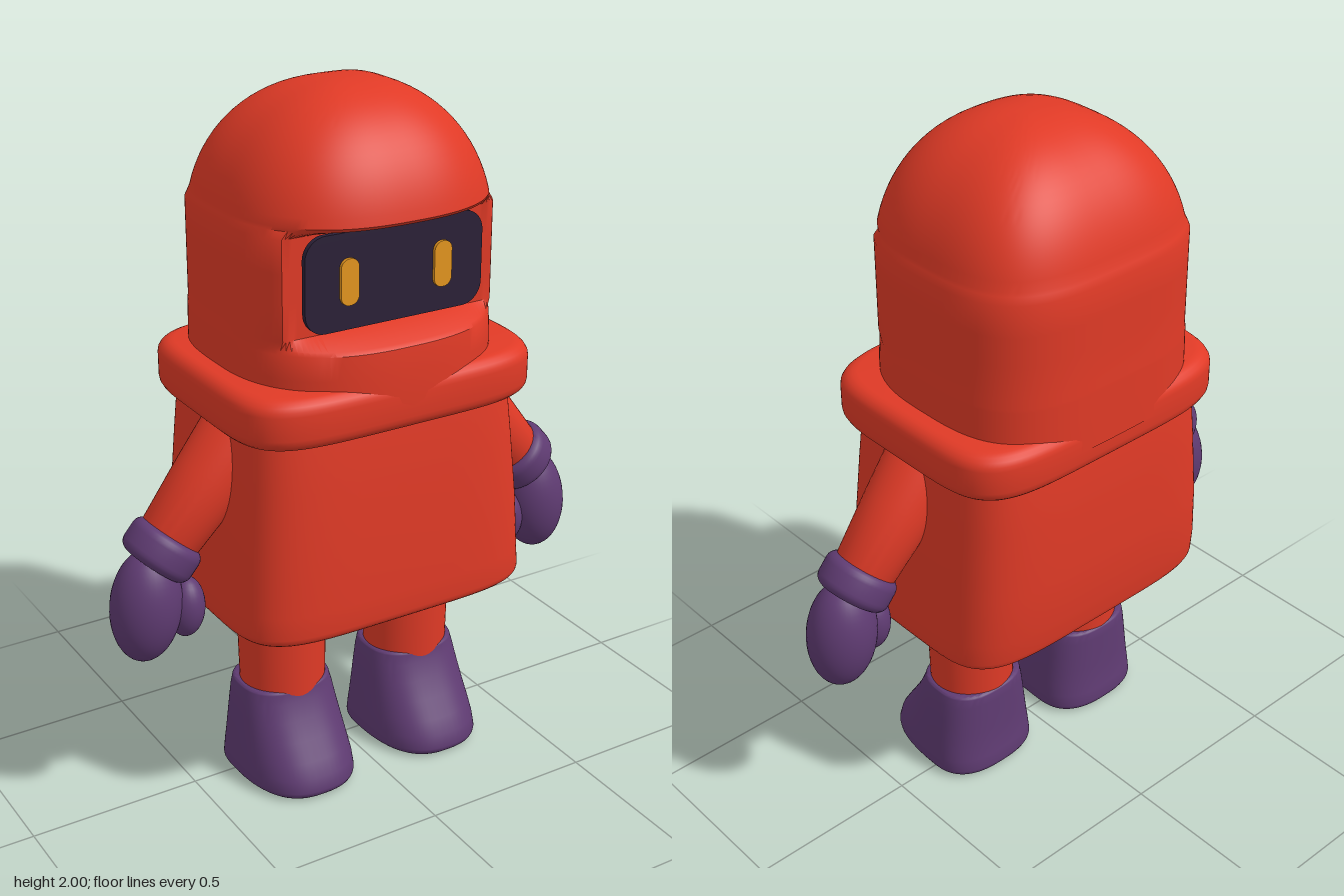
import * as THREE from 'three';
import { toCreasedNormals } from 'three/addons/utils/BufferGeometryUtils.js';

const mat = (name, color) => {
  const m = new THREE.MeshStandardMaterial({ color });
  m.name = name;
  return m;
};

// Stack of rounded-square rings [y, halfX, frontZ, backZ, clipZ?]; the ends are closed.
// nf and nb set how square the front and back halves are (2 is an ellipse).
function loft(rings, nf = 2, nb = nf, seg = 96) {
  const first = rings[0], last = rings[rings.length - 1];
  const all = [[first[0], 0, 0, 0], ...rings, [last[0], 0, 0, 0]];
  const pos = [], index = [];
  const pow = (v, n) => Math.sign(v) * Math.pow(Math.abs(v), 2 / n);
  for (const [y, hx, zf, zb, clip = Infinity] of all) {
    for (let j = 0; j < seg; j++) {
      const t = (j / seg) * Math.PI * 2;
      const s = Math.sin(t), n = s > 0 ? nf : nb;
      pos.push(hx * pow(Math.cos(t), n), y, Math.min(clip, pow(s, n) * (s > 0 ? zf : zb)));
    }
  }
  for (let i = 0; i < all.length - 1; i++) {
    for (let j = 0; j < seg; j++) {
      const k = (j + 1) % seg;
      const a = i * seg + j, b = i * seg + k, c = a + seg, d = b + seg;
      if (i > 0) index.push(a, c, b);
      if (i < all.length - 2) index.push(b, c, d);
    }
  }
  // the first fan needs its outer triangles, the last fan its inner ones
  const g = new THREE.BufferGeometry();
  g.setAttribute('position', new THREE.Float32BufferAttribute(pos, 3));
  g.setIndex(index);
  return toCreasedNormals(g, 0.6);
}

// Rounds the bottom (r0) and top (r1) rims of a stack of rings
function bevel(rings, r0, r1, steps = 5) {
  const arc = ([y, ...h], r, dir) => Array.from({ length: steps + 1 }, (_, k) => {
    const a = (k / steps) * Math.PI / 2;
    return [y + dir * r * Math.sin(a), ...h.map(v => Math.max(v - r * (1 - Math.cos(a)), 0.0005))];
  });
  const a = [...rings[0]], b = [...rings[rings.length - 1]];
  a[0] += r0;
  b[0] -= r1;
  return [...arc(a, r0, -1).reverse(), ...rings.slice(1, -1), ...arc(b, r1, 1)];
}

function roundedPlate(w, h, r, depth) {
  const s = new THREE.Shape(), x = w / 2, y = h / 2;
  s.moveTo(-x + r, -y);
  s.lineTo(x - r, -y);
  s.absarc(x - r, -y + r, r, -Math.PI / 2, 0);
  s.lineTo(x, y - r);
  s.absarc(x - r, y - r, r, 0, Math.PI / 2);
  s.lineTo(-x + r, y);
  s.absarc(-x + r, y - r, r, Math.PI / 2, Math.PI);
  s.lineTo(-x, -y + r);
  s.absarc(-x + r, -y + r, r, Math.PI, Math.PI * 1.5);
  return new THREE.ExtrudeGeometry(s, { depth, bevelEnabled: false, curveSegments: 10 });
}

export function createModel() {
  const model = new THREE.Group();
  model.name = 'figure';
  const red = mat('red suit', 0xe03a26);
  const purple = mat('purple', 0x5f3b72);
  const dark = mat('dark visor', 0x2b2138);
  const amber = mat('amber', 0xe5961f);

  const add = (name, geo, material, x = 0, y = 0, z = 0, tilt = 0) => {
    const m = new THREE.Mesh(geo, material);
    m.name = name;
    m.position.set(x, y, z);
    m.rotation.z = tilt;
    model.add(m);
    return m;
  };

  // Hood: straight walls, a face recess cut flat at the front, and a dome
  const hood = [[1.2, 0.385, 0.355, 0.36], [1.3, 0.385, 0.357, 0.36], [1.365, 0.384, 0.35, 0.359],
    [1.375, 0.384, 0.34, 0.359]];
  for (const y of [1.4, 1.5, 1.58, 1.67]) hood.push([y, 0.382, 0.358, 0.357, 0.235]);
  hood.push([1.69, 0.373, 0.34, 0.35]);
  for (let i = 0; i <= 20; i++) {
    const a = 0.29 + (i / 20) * (Math.PI / 2 - 0.29);
    const h = Math.sin(a);
    const k = Math.max(Math.pow(Math.max(1 - Math.pow(h, 2.15), 0), 1 / 2.15), 0.002);
    hood.push([1.58 + 0.42 * h, 0.382 * k, 0.362 * k, 0.357 * k]);
  }
  add('hood', loft(hood, 2.5, 3.3, 128), red);

  // Face
  add('visor', roundedPlate(0.54, 0.26, 0.06, 0.015), dark, 0, 1.54, 0.247);
  for (const s of [-1, 1]) {
    add('eye', roundedPlate(0.054, 0.125, 0.025, 0.009), amber, s * 0.142, 1.54, 0.262);
  }

  // Collar and tunic
  add('collar', loft(bevel([[1.13, 0.457, 0.355, 0.357], [1.275, 0.457, 0.355, 0.357]], 0.04, 0.04), 5), red);
  add('tunic', loft(bevel([
    [0.555, 0.457, 0.343, 0.322], [0.65, 0.452, 0.342, 0.332], [0.8, 0.443, 0.337, 0.336],
    [1.0, 0.424, 0.325, 0.333], [1.18, 0.408, 0.31, 0.325]], 0.03, 0.01), 5), red);

  // Limb shapes shared by both sides
  const arm = loft(bevel([[0, 0.088, 0.088, 0.088], [0.2, 0.102, 0.102, 0.102],
    [0.45, 0.11, 0.11, 0.11]], 0.01, 0.109, 8), 2, 2, 40);
  const cuff = loft(bevel([[-0.05, 0.106, 0.106, 0.106], [0.05, 0.106, 0.106, 0.106]], 0.03, 0.03), 2, 2, 48);
  const palm = new THREE.SphereGeometry(1, 36, 24).scale(0.099, 0.163, 0.096);
  const thumb = new THREE.SphereGeometry(1, 28, 18).scale(0.053, 0.088, 0.06);
  const leg = new THREE.CylinderGeometry(0.132, 0.125, 0.34, 48).scale(1, 1, 0.94);
  const boot = loft(bevel([
    [0, 0.168, 0.262, 0.132], [0.06, 0.166, 0.25, 0.126], [0.1, 0.162, 0.224, 0.12],
    [0.15, 0.156, 0.19, 0.117], [0.2, 0.15, 0.158, 0.115], [0.25, 0.143, 0.133, 0.113],
    [0.287, 0.137, 0.124, 0.112]], 0.025, 0.012), 2.6, 2.6, 72);

  for (const s of [1, -1]) {
    const side = s > 0 ? 'left' : 'right';
    add(side + 'Arm', arm, red, s * 0.567, 0.82, 0.03, s * 0.71);
    add(side + 'Cuff', cuff, purple, s * 0.588, 0.795, 0.033, s * 0.71);
    add(side + 'Hand', palm, purple, s * 0.645, 0.645, 0.04, s * 0.12);
    add(side + 'Thumb', thumb, purple, s * 0.535, 0.618, 0.055, s * 0.08);
    add(side + 'Leg', leg, red, s * 0.211, 0.42, 0.01);
    add(side + 'Boot', boot, purple, s * 0.213, 0, 0);
  }
  return model;
}
